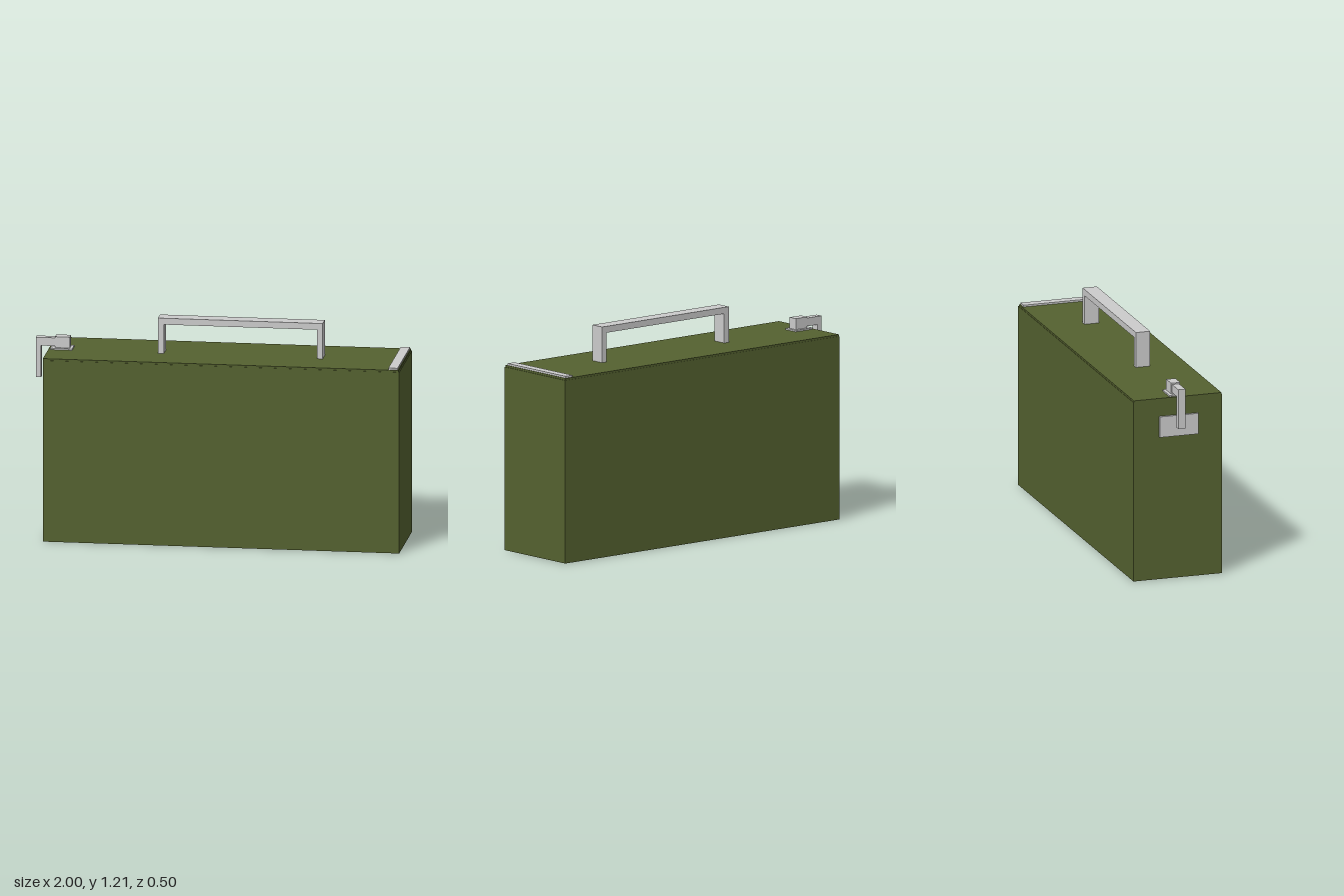
import * as THREE from 'three';

const green = new THREE.MeshStandardMaterial({ color: 0x556230 });
const grey = new THREE.MeshStandardMaterial({ color: 0xcccccc });

// Box given by its [min, max] extent along each axis
function addBox(parent, name, material, x, y, z) {
  const mesh = new THREE.Mesh(
    new THREE.BoxGeometry(x[1] - x[0], y[1] - y[0], z[1] - z[0]), material);
  mesh.position.set((x[0] + x[1]) / 2, (y[0] + y[1]) / 2, (z[0] + z[1]) / 2);
  mesh.name = name;
  parent.add(mesh);
  return mesh;
}

// Path of corner points extruded along z
function addProfile(parent, name, points, z) {
  const shape = new THREE.Shape(points.map(([x, y]) => new THREE.Vector2(x, y)));
  const geometry = new THREE.ExtrudeGeometry(shape, { depth: z[1] - z[0], bevelEnabled: false });
  const mesh = new THREE.Mesh(geometry, grey);
  mesh.position.z = z[0];
  mesh.name = name;
  parent.add(mesh);
  return mesh;
}

export function createModel() {
  const model = new THREE.Group();
  model.name = 'ammunitionCan';

  // Can and its thin lid
  addBox(model, 'body', green, [-0.93, 1], [0, 1], [-0.25, 0.25]);
  addBox(model, 'lid', green, [-0.93, 0.995], [1, 1.01], [-0.248, 0.248]);

  // Hinge strip across the far end of the lid
  addBox(model, 'hinge', grey, [0.94, 0.99], [1.005, 1.02], [-0.24, 0.24]);

  // Square carrying handle
  addProfile(model, 'handle', [
    [-0.335, 1.005], [-0.303, 1.005], [-0.303, 1.17], [0.525, 1.17],
    [0.525, 1.005], [0.557, 1.005], [0.557, 1.205], [-0.335, 1.205],
  ], [-0.035, 0.046]);

  // Latch: lid plate, pivot block, hooked arm and catch plate
  const latch = new THREE.Group();
  latch.name = 'latch';
  model.add(latch);
  addBox(latch, 'latchBase', grey, [-0.92, -0.8], [1.005, 1.018], [-0.043, 0.043]);
  addBox(latch, 'latchBlock', grey, [-0.895, -0.815], [1.018, 1.078], [-0.026, 0.026]);
  addProfile(latch, 'latchArm', [
    [-1, 0.85], [-0.972, 0.85], [-0.972, 1.025], [-0.89, 1.025],
    [-0.89, 1.07], [-1, 1.07],
  ], [-0.02, 0.02]);
  addBox(latch, 'catchPlate', grey, [-0.943, -0.928], [0.795, 0.91], [-0.105, 0.113]);

  return model;
}
